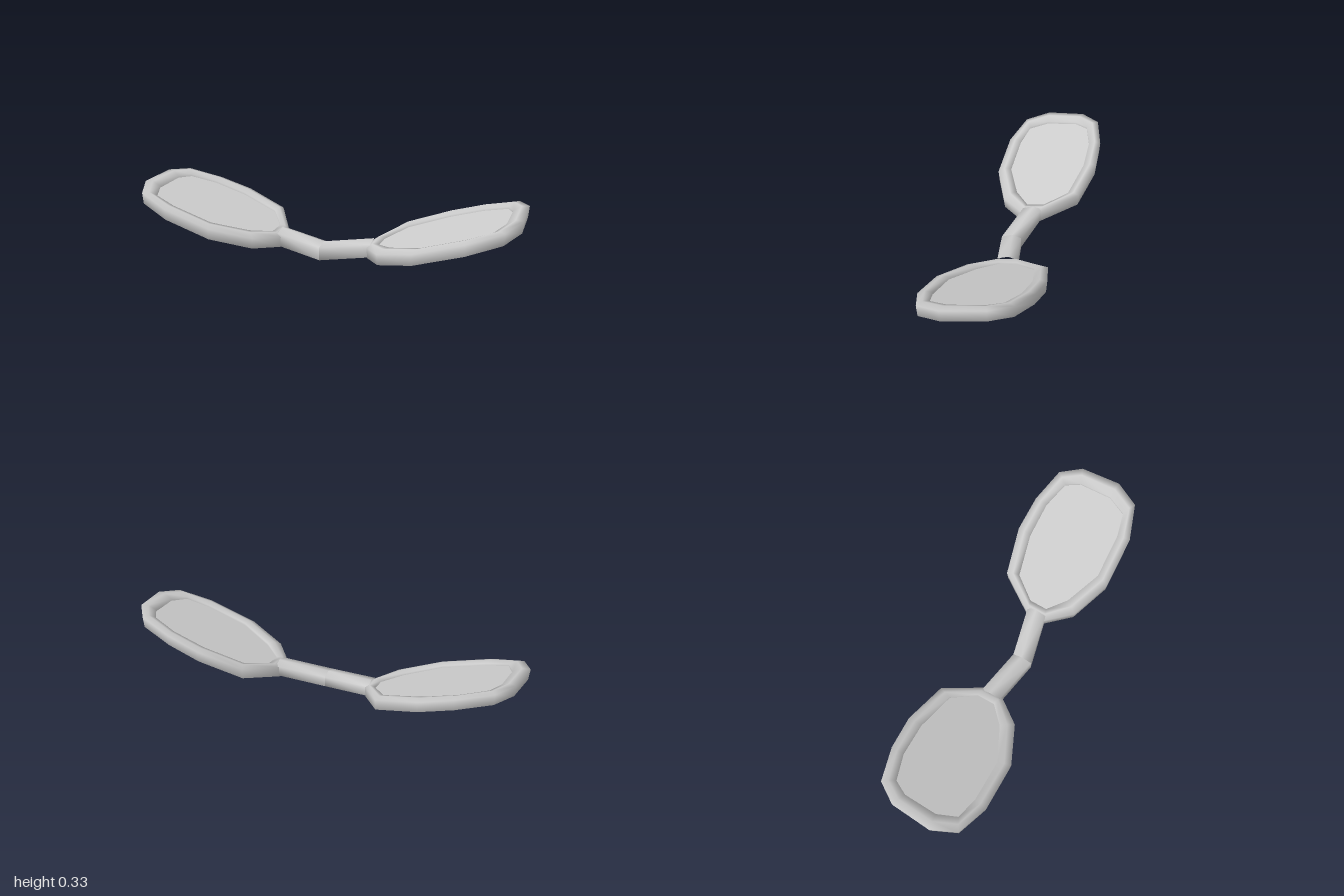
import * as THREE from 'three';

const material = new THREE.MeshStandardMaterial({ color: 0xcccccc });
const thin = new THREE.MeshStandardMaterial({ color: 0xcccccc, side: THREE.DoubleSide });

// Outer and inner edges of one rim, seen from above: [x, z]
const OUTER = [[0.23, -0.04], [0.35, -0.22], [0.57, -0.267], [0.74, -0.257], [0.91, -0.21], [0.98, -0.11],
  [1.0, 0.09], [0.945, 0.21], [0.78, 0.265], [0.53, 0.265], [0.33, 0.18], [0.23, 0.055]];
const INNER = [[0.285, -0.05], [0.37, -0.16], [0.57, -0.2], [0.74, -0.195], [0.87, -0.155], [0.91, -0.085],
  [0.92, 0.08], [0.88, 0.175], [0.765, 0.2], [0.55, 0.2], [0.375, 0.12], [0.285, 0.04]];

// Rim cross-section: [share of the way inward, height above the tilted plane]
const RIM = [[0.08, 0], [0, 0.055], [0.5, 0.066], [1, 0.056], [1, 0.012], [0.5, -0.009]];
// Bridge cross-section at the centre: [z, y], back bottom first
const BRIDGE = [[0, 0.017], [0, 0.07], [0.045, 0.083], [0.1, 0.065], [0.1, 0], [0.05, 0.006]];

const tilt = (x, z) => -0.035 + 0.3 * x - 0.14 * z;

// Point i of the outline, moved inward by t and raised by h
function rimPoint(i, t, h) {
  const x = THREE.MathUtils.lerp(OUTER[i][0], INNER[i][0], t);
  const z = THREE.MathUtils.lerp(OUTER[i][1], INNER[i][1], t);
  return [x, tilt(x, z) + h, z];
}

// Skin over a row of cross-sections; side -1 mirrors it in x
function loft(rings, side, closedPath, closedSection) {
  const rows = side < 0 ? [...rings].reverse() : rings;
  const n = rows.length, m = rows[0].length, index = [];
  for (let i = 0; i < (closedPath ? n : n - 1); i++) {
    for (let j = 0; j < (closedSection ? m : m - 1); j++) {
      const k = (i + 1) % n, l = (j + 1) % m;
      const a = i * m + j, b = k * m + j, c = k * m + l, d = i * m + l;
      index.push(a, d, c, a, c, b);
    }
  }
  const points = rows.flat().map(([x, y, z]) => [x * side, y, z]).flat();
  const geometry = new THREE.BufferGeometry();
  geometry.setAttribute('position', new THREE.Float32BufferAttribute(points, 3));
  geometry.setIndex(index);
  geometry.computeVertexNormals();
  return geometry;
}

export function createModel() {
  const model = new THREE.Group();
  model.name = 'spectacles';
  const add = (parent, name, geometry, mat) => {
    const mesh = new THREE.Mesh(geometry, mat);
    mesh.name = name;
    parent.add(mesh);
  };

  for (const side of [1, -1]) {
    const half = new THREE.Group();
    half.name = side > 0 ? 'leftHalf' : 'rightHalf';
    model.add(half);

    // Rim: a rounded tube following the outline
    const rimRings = OUTER.map((_, i) => RIM.map(([t, h]) => rimPoint(i, t, h)));
    add(half, 'rim', loft(rimRings, side, true, true), material);

    // Lens: a thin flat pane set near the top of the rim
    const centre = [0.6, tilt(0.6, 0) + 0.045, 0];
    const lensRings = OUTER.map((_, i) => [rimPoint(i, 0.98, 0.045), centre]);
    add(half, 'lens', loft(lensRings, side, true, false), thin);

    // Bridge arm: from the middle up and back to the rim
    const bridgeRings = [0, 1].map((s) => BRIDGE.map(([z, y]) => [s * 0.25, y + s * 0.033, z - s * 0.047]));
    add(half, 'bridge', loft(bridgeRings, side, false, true), material);
  }
  return model;
}
